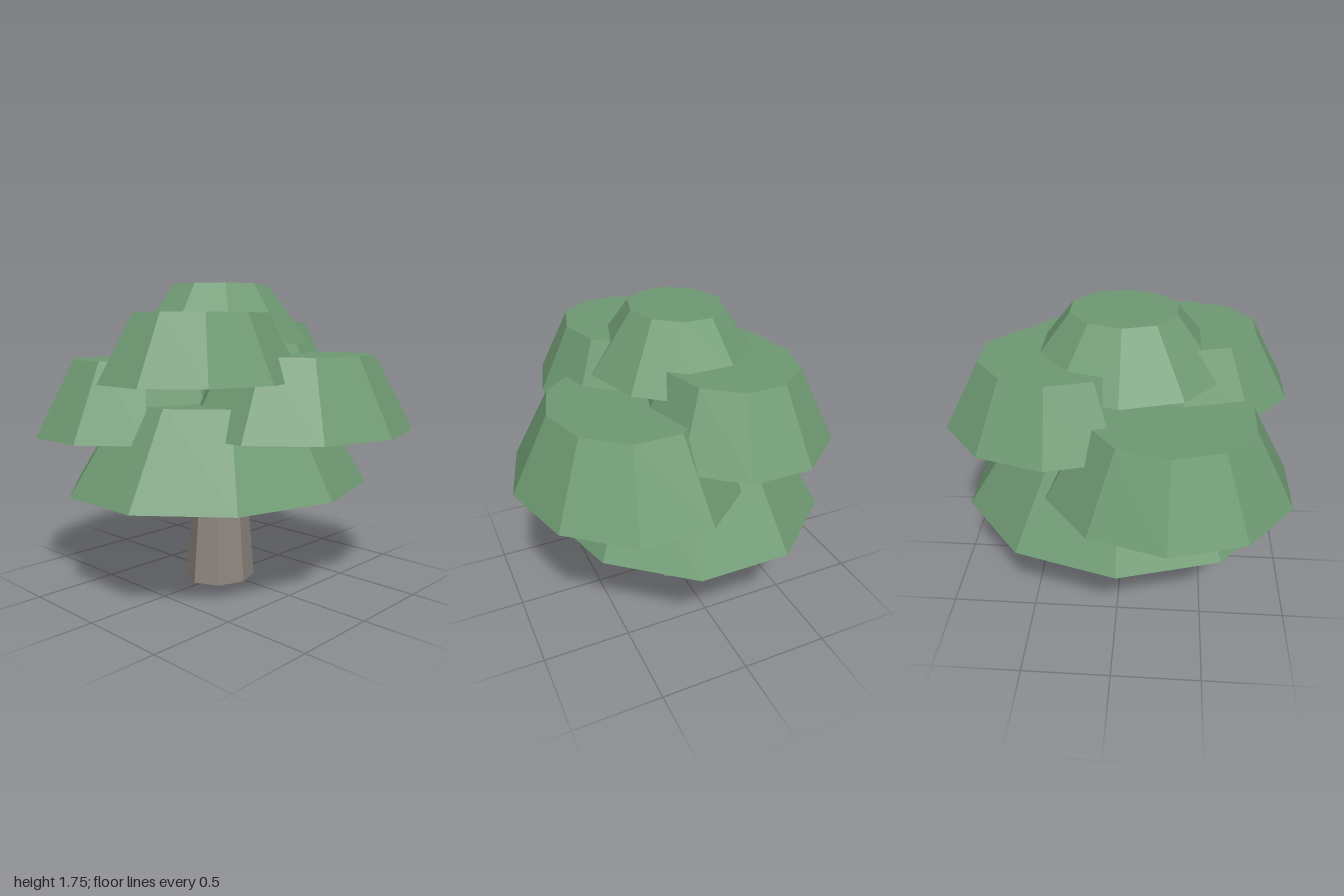
import * as THREE from 'three';

// Turned low-poly form, scaled to an oval footprint, with a vertex on the +x side
function turned(profile, sides, rx, rz) {
  const points = profile.map(([r, y]) => new THREE.Vector2(r, y));
  const geometry = new THREE.LatheGeometry(points, sides, Math.PI / 2).scale(rx, 1, rz).toNonIndexed();
  geometry.computeVertexNormals();
  return geometry;
}

export function createModel() {
  const group = new THREE.Group();
  group.name = 'tree';

  const leafGreen = new THREE.MeshStandardMaterial({ color: 0x6f9a73, flatShading: true, side: THREE.DoubleSide });
  leafGreen.name = 'leaf green';
  const barkGrey = new THREE.MeshStandardMaterial({ color: 0x8f8780, flatShading: true });
  barkGrey.name = 'bark grey';

  // Tapered eight-sided trunk
  const trunk = new THREE.Mesh(turned([[0, 0], [1, 0], [0.72, 0.71], [0, 0.71]], 8, 0.195, 0.22), barkGrey);
  trunk.name = 'trunk';
  trunk.position.set(-0.03, 0, 0.02);
  group.add(trunk);

  // Foliage caps: ten-sided, flat on top and hollow underneath
  const caps = [
    { name: 'lowerFoliage', x: -0.03, z: 0.02, y0: 0.6, y1: 1.09, rx: 0.825, rz: 0.946, taper: 0.66 },
    { name: 'leftBackFoliage', x: 0.365, z: -0.21, y0: 0.93, y1: 1.355, rx: 0.635, rz: 0.72, taper: 0.66 },
    { name: 'rightFrontFoliage', x: -0.4, z: 0.28, y0: 0.895, y1: 1.325, rx: 0.6, rz: 0.685, taper: 0.66 },
    { name: 'rightBackFoliage', x: -0.17, z: -0.35, y0: 1.16, y1: 1.54, rx: 0.54, rz: 0.615, taper: 0.66 },
    { name: 'frontFoliage', x: 0.15, z: 0.345, y0: 1.225, y1: 1.585, rx: 0.513, rz: 0.605, taper: 0.66 },
    { name: 'topFoliage', x: -0.03, z: 0.015, y0: 1.42, y1: 1.75, rx: 0.49, rz: 0.56, taper: 0.53 },
  ];
  for (const c of caps) {
    const height = c.y1 - c.y0;
    const cap = new THREE.Mesh(turned([[1, 0], [c.taper, height], [0, height]], 10, c.rx, c.rz), leafGreen);
    cap.name = c.name;
    cap.position.set(c.x, c.y0, c.z);
    group.add(cap);
  }
  return group;
}
